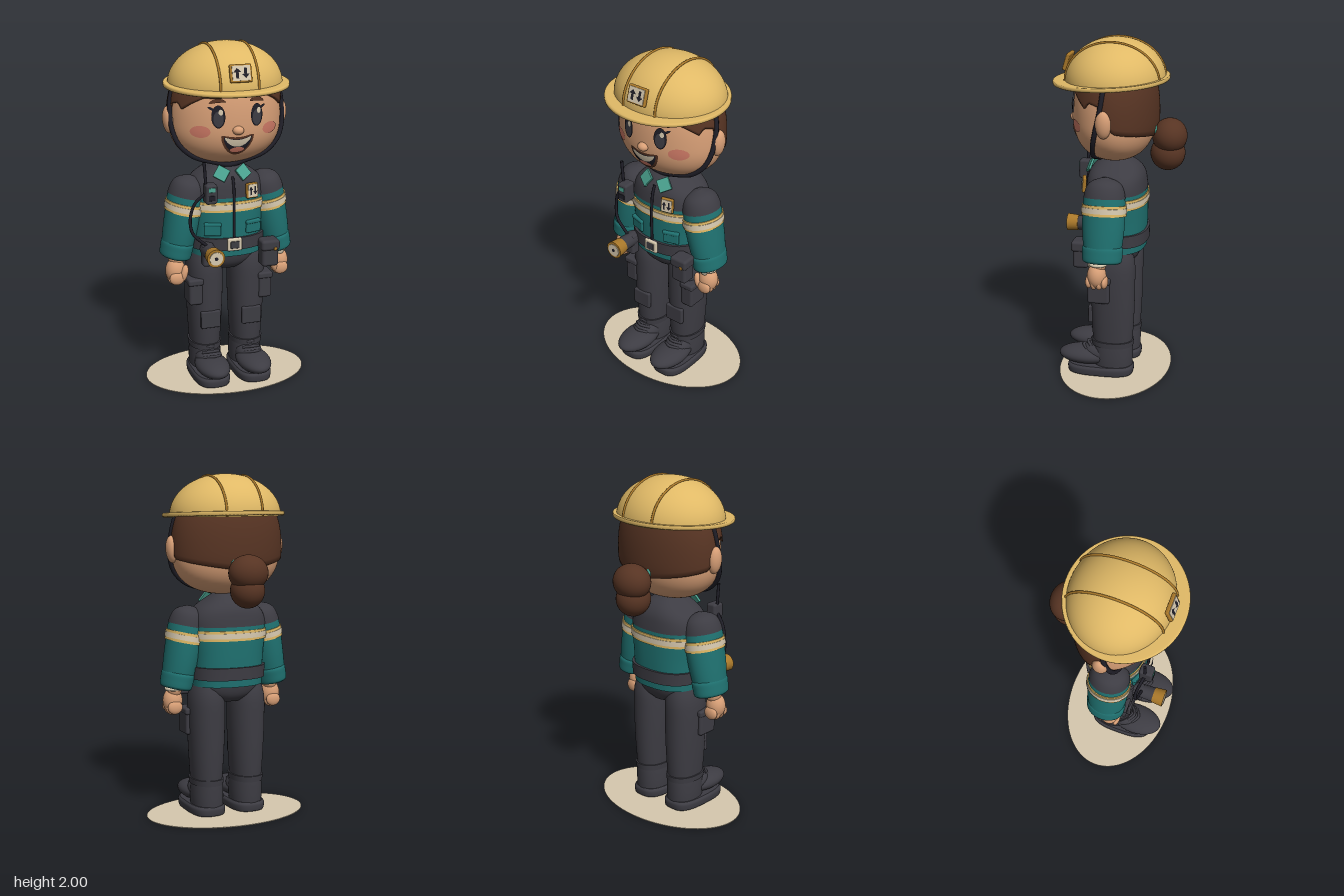
import * as THREE from 'three';
import { RoundedBoxGeometry } from 'three/addons/geometries/RoundedBoxGeometry.js';

const V = (x, y, z) => new THREE.Vector3(x, y, z);
const mat = (name, color) => Object.assign(new THREE.MeshStandardMaterial({ color, side: THREE.DoubleSide }), { name });

export function createModel() {
  const model = new THREE.Group();
  const charcoal = mat('charcoal', 0x3d3c43), teal = mat('teal', 0x1f7170), gold = mat('gold', 0xe0b966);
  const amber = mat('amber', 0xa9782a), skin = mat('skin', 0xd9a077), brown = mat('brown', 0x573423);
  const cream = mat('cream', 0xd6c8ae), pink = mat('pink', 0xcf7a66), ink = mat('ink', 0x1f1e27), mint = mat('mint', 0x4ca592);

  const add = (name, geo, m, x = 0, y = 0, z = 0, parent = model) => {
    const mesh = new THREE.Mesh(geo, m);
    mesh.name = name;
    mesh.position.set(x, y, z);
    parent.add(mesh);
    return mesh;
  };
  const ball = (name, m, x, y, z, rx, ry, rz) => {
    const b = add(name, new THREE.SphereGeometry(1, 32, 20), m, x, y, z);
    b.scale.set(rx, ry, rz);
    return b;
  };
  const box = (name, m, w, h, d, x, y, z, r = 0.008) =>
    add(name, new RoundedBoxGeometry(w, h, d, 3, Math.min(r, d / 2.1)), m, x, y, z);
  const tube = (name, m, pts, r) =>
    add(name, new THREE.TubeGeometry(new THREE.CatmullRomCurve3(pts), 48, r, 8), m);

  // Skin over closed rings of points, running upwards
  const loft = (rings) => {
    const n = rings[0].length, pos = [], idx = [];
    rings.forEach((r) => r.forEach((p) => pos.push(p.x, p.y, p.z)));
    for (let j = 0; j < rings.length - 1; j++) for (let i = 0; i < n; i++) {
      const a = j * n + i, b = j * n + (i + 1) % n;
      idx.push(a, a + n, b, b, a + n, b + n);
    }
    const g = new THREE.BufferGeometry();
    g.setAttribute('position', new THREE.Float32BufferAttribute(pos, 3));
    g.setIndex(idx);
    g.computeVertexNormals();
    return g;
  };
  // Smooth body from [y, rx, rz] sections; slices of it can be cut and inflated
  const limb = (secs, p = 2) => {
    const curve = new THREE.CatmullRomCurve3(secs.map((s) => V(s[1], s[0], s[2])), false, 'catmullrom');
    const at = (y) => {
      let lo = 0, hi = 1;
      for (let k = 0; k < 24; k++) {
        const mid = (lo + hi) / 2;
        if (curve.getPoint(mid).y < y) lo = mid; else hi = mid;
      }
      return curve.getPoint(lo);
    };
    const sq = (v) => Math.sign(v) * Math.abs(v) ** (2 / p);
    const slice = (y0, y1, grow = 0, rows = 14) => {
      const rings = [];
      for (let j = 0; j <= rows; j++) {
        const y = y0 + (y1 - y0) * j / rows, r = at(y);
        rings.push(Array.from({ length: 48 }, (_, i) => {
          const a = i / 48 * Math.PI * 2;
          return V(sq(Math.cos(a)) * (r.x + grow), y, sq(Math.sin(a)) * (r.z + grow));
        }));
      }
      const cap = (y) => rings[0].map(() => V(0, y, 0));
      return loft([cap(y0), rings[0], ...rings, rings[rows], cap(y1)]);
    };
    return { at, slice };
  };

  // Ground disc
  add('groundDisc', new THREE.CylinderGeometry(1, 1, 0.004, 72), cream, 0, 0.002, 0.03).scale.set(0.486, 1, 0.333);

  // Jacket
  const torso = limb([[0.775, 0.21, 0.17], [0.86, 0.212, 0.172], [0.96, 0.217, 0.175], [1.08, 0.23, 0.175],
    [1.17, 0.225, 0.168], [1.23, 0.19, 0.155], [1.28, 0.12, 0.12], [1.32, 0.06, 0.06]], 2.4);
  const TZ = 0.02;
  add('jacketBody', torso.slice(0.78, 1.13), teal, 0, 0, TZ);
  add('jacketYoke', torso.slice(1.13, 1.32, 0.002), charcoal, 0, 0, TZ);
  add('chestBand', torso.slice(1.05, 1.108, 0.006, 4), gold, 0, 0, TZ);
  add('chestBandCentre', torso.slice(1.064, 1.094, 0.009, 4), cream, 0, 0, TZ);
  add('belt', torso.slice(0.822, 0.895, 0.014, 4), charcoal, 0, 0, TZ);
  tube('zip', ink, [0.9, 0.98, 1.06, 1.14, 1.2, 1.25].map((y) => V(0, y, TZ + torso.at(y).z + 0.008)), 0.008);
  box('buckle', cream, 0.086, 0.074, 0.02, 0, 0.858, 0.21);
  box('buckleCentre', charcoal, 0.054, 0.044, 0.01, 0, 0.858, 0.218);

  // Badges with an up and a down arrow
  const arrow = new THREE.Shape([[-0.07, -0.3], [0.07, -0.3], [0.07, 0.05], [0.19, 0.05], [0, 0.3], [-0.19, 0.05], [-0.07, 0.05]]
    .map(([x, y]) => new THREE.Vector2(x, y)));
  const badge = (name, w, h, x, y, z, tilt, yaw) => {
    const g = new THREE.Group();
    g.name = name;
    g.position.set(x, y, z);
    g.rotation.set(tilt, yaw, 0);
    model.add(g);
    add('badgeFrame', new RoundedBoxGeometry(w, h, 0.022, 3, 0.008), amber, 0, 0, 0, g);
    add('badgePanel', new THREE.BoxGeometry(w * 0.82, h * 0.82, 0.006), cream, 0, 0, 0.011, g);
    for (const s of [-1, 1]) {
      const a = add('badgeArrow', new THREE.ShapeGeometry(arrow), ink, s * w * 0.19, 0, 0.0155, g);
      a.scale.set(w * 0.95, h * 0.95, 1);
      a.rotation.z = s > 0 ? Math.PI : 0;
    }
  };
  badge('chestBadge', 0.076, 0.088, 0.108, 1.167, 0.192, -0.08, 0.25);
  badge('helmetBadge', 0.125, 0.1, 0, 1.86, 0.303, -0.3, 0);

  for (const s of [-1, 1]) {
    // Collar and chest pocket
    const collar = box('collar', mint, 0.075, 0.075, 0.014, s * 0.064, 1.272, 0.166, 0.003);
    collar.rotation.set(-0.45, s * 0.25, s * 0.62);
    box('chestPocket', teal, 0.098, 0.075, 0.02, s * 0.122, 0.95, 0.178).rotation.y = s * 0.28;
    box('chestPocketFlap', teal, 0.1, 0.022, 0.028, s * 0.122, 0.978, 0.179).rotation.y = s * 0.28;

    // Sleeve
    const arm = new THREE.Group();
    arm.name = 'arm';
    arm.position.set(s * 0.225, 1.19, 0.045);
    arm.rotation.z = s * 0.2;
    model.add(arm);
    const sleeve = limb([[-0.43, 0.083, 0.098], [-0.36, 0.09, 0.108], [-0.27, 0.098, 0.118], [-0.17, 0.104, 0.122],
      [-0.07, 0.108, 0.118], [0, 0.094, 0.102], [0.035, 0.064, 0.07], [0.055, 0.015, 0.015]]);
    add('sleeve', sleeve.slice(-0.4, -0.06), teal, 0, 0, 0, arm);
    add('shoulder', sleeve.slice(-0.06, 0.055, 0.002), charcoal, 0, 0, 0, arm);
    add('sleeveBand', sleeve.slice(-0.158, -0.098, 0.006, 4), gold, 0, 0, 0, arm);
    add('sleeveBandCentre', sleeve.slice(-0.143, -0.113, 0.009, 4), cream, 0, 0, 0, arm);
    const cuff = limb([[-0.43, 0.08, 0.1], [-0.42, 0.09, 0.112], [-0.38, 0.093, 0.116], [-0.345, 0.093, 0.117], [-0.33, 0.085, 0.105]]);
    add('cuff', cuff.slice(-0.43, -0.33), teal, 0, 0, 0, arm);

    // Hand
    ball('wrist', skin, s * 0.31, 0.765, 0.065, 0.045, 0.06, 0.045);
    ball('palm', skin, s * 0.317, 0.69, 0.075, 0.058, 0.075, 0.055);
    for (let i = 0; i < 4; i++) ball('finger', skin, s * 0.318, 0.642 + Math.abs(i - 1.5) * 0.008, 0.03 + i * 0.03, 0.045, 0.04, 0.02);
    ball('thumb', skin, s * 0.275, 0.68, 0.115, 0.022, 0.052, 0.024).rotation.z = s * 0.25;

    // Trouser leg with pocket and knee patch
    const leg = limb([[0.16, 0.083, 0.112], [0.25, 0.09, 0.12], [0.4, 0.099, 0.128], [0.58, 0.105, 0.132], [0.72, 0.1, 0.13], [0.81, 0.07, 0.1]], 2.2);
    add('trouserLeg', leg.slice(0.17, 0.8), charcoal, s * 0.128, 0, 0.022);
    add('trouserHem', leg.slice(0.19, 0.225, 0.008, 4), charcoal, s * 0.128, 0, 0.022);
    box('kneePatch', charcoal, 0.118, 0.105, 0.026, s * 0.126, 0.388, 0.147);
    box('cargoPocket', charcoal, 0.08, 0.14, 0.13, s * 0.212, 0.555, 0.085, 0.015);
    box('cargoPocketFlap', charcoal, 0.092, 0.038, 0.145, s * 0.213, 0.625, 0.085, 0.012);

    // Boot
    const sole = limb([[0.008, 0.096, 0.185], [0.016, 0.105, 0.195], [0.05, 0.108, 0.198], [0.066, 0.098, 0.188]], 3);
    add('bootSole', sole.slice(0.009, 0.066), charcoal, s * 0.128, 0, 0.095);
    const shaft = limb([[0.05, 0.09, 0.115], [0.12, 0.092, 0.118], [0.2, 0.088, 0.118], [0.22, 0.08, 0.11]], 2.2);
    add('bootShaft', shaft.slice(0.05, 0.215), charcoal, s * 0.126, 0, 0.02);
    ball('bootToe', charcoal, s * 0.128, 0.11, 0.185, 0.098, 0.055, 0.165);
    ball('bootInstep', charcoal, s * 0.126, 0.13, 0.1, 0.08, 0.07, 0.11);
    for (let i = 0; i < 3; i++) tube('bootLace', charcoal, [-1, 0, 1].map((u) =>
      V(s * 0.126 + u * 0.05, 0.17 + i * 0.022 - u * u * 0.015, 0.2 - i * 0.027 - u * u * 0.03)), 0.009);
  }
  const pelvis = limb([[0.68, 0.07, 0.09], [0.72, 0.165, 0.125], [0.77, 0.208, 0.142], [0.84, 0.205, 0.15]], 2.3);
  add('trouserHips', pelvis.slice(0.685, 0.84), charcoal, 0, 0, 0.02);

  // Radio, antenna and cable
  box('radio', charcoal, 0.066, 0.115, 0.08, -0.155, 1.185, 0.24, 0.014);
  box('radioScreen', mint, 0.04, 0.026, 0.008, -0.155, 1.212, 0.279);
  box('radioGrille', ink, 0.04, 0.03, 0.008, -0.155, 1.165, 0.279);
  tube('antenna', ink, [V(-0.178, 1.23, 0.235), V(-0.183, 1.3, 0.235), V(-0.188, 1.365, 0.235)], 0.009);
  tube('radioCable', ink, [V(-0.185, 1.18, 0.235), V(-0.235, 1.13, 0.22), V(-0.262, 1.04, 0.21), V(-0.25, 0.95, 0.215), V(-0.17, 0.87, 0.22)], 0.009);

  // Torch on the belt
  const barrel = (name, m, r0, r1, len, z) => add(name, new THREE.CylinderGeometry(r0, r1, len, 32), m, -0.157, 0.838, z).rotation.x = Math.PI / 2;
  barrel('torchBody', charcoal, 0.043, 0.04, 0.13, 0.235);
  barrel('torchHead', amber, 0.052, 0.046, 0.066, 0.326);
  barrel('torchLens', cream, 0.038, 0.038, 0.012, 0.358);
  barrel('torchBulb', ink, 0.01, 0.01, 0.008, 0.362);
  box('torchHolder', charcoal, 0.07, 0.13, 0.06, -0.157, 0.81, 0.2, 0.015);

  // Belt pouch and wrist watch
  box('beltPouch', charcoal, 0.1, 0.16, 0.09, 0.215, 0.785, 0.185, 0.018);
  box('beltPouchFlap', charcoal, 0.112, 0.062, 0.102, 0.215, 0.835, 0.187, 0.016);
  box('pouchStud', amber, 0.02, 0.02, 0.01, 0.24, 0.815, 0.236);
  const watch = add('watchStrap', new THREE.TorusGeometry(0.045, 0.01, 10, 32), cream, 0.312, 0.762, 0.067);
  watch.rotation.x = Math.PI / 2;
  ball('watchFace', cream, 0.315, 0.762, 0.118, 0.024, 0.024, 0.01);

  // Head
  const HY = 1.56, HZ = 0.015, HX = 0.325, HD = 0.25;
  const headR = (y) => Math.max(0, 1 - Math.abs((y - HY) / (y < HY ? 0.25 : 0.4)) ** 2.4) ** (1 / 2.4);
  const headRing = (edge, kx, kf, kb) => Array.from({ length: 96 }, (_, i) => {
    const a = i / 96 * Math.PI * 2, c = Math.cos(a), s = Math.sin(a), y = edge(Math.abs(Math.atan2(c, s)), c), r = headR(y);
    return V(c * r * kx, y, HZ + s * r * (s > 0 ? kf : kb));
  });
  add('head', loft(Array.from({ length: 33 }, (_, j) =>
    headRing(() => HY - 0.25 * Math.cos(j / 32 * Math.PI * 0.8), HX, HD, 0.215))), skin);
  const faceZ = (x, y) => HZ + HD * Math.sqrt(Math.max(0, headR(y) ** 2 - (x / HX) ** 2));

  // Hair with a swept hairline, a is the angle from the front
  const line = [[0, 1.735], [0.35, 1.715], [0.6, 1.72], [0.85, 1.685], [1.05, 1.65], [1.15, 1.685], [1.38, 1.67], [1.5, 1.58], [1.75, 1.52], [3.15, 1.455]];
  const hairline = (a) => {
    const k = line.findIndex((p, i) => i > 0 && a <= p[0]), [a0, y0] = line[k - 1], [a1, y1] = line[k];
    return y0 + (y1 - y0) * (a - a0) / (a1 - a0);
  };
  const hairRings = [headRing(hairline, HX * 0.96, HD * 0.96, 0.2)];
  for (let j = 0; j <= 12; j++) hairRings.push(headRing((a) => hairline(a) + (1.85 - hairline(a)) * j / 12, 0.338, 0.263, 0.236));
  add('hair', loft(hairRings), brown);
  ball('bun', brown, 0, 1.45, -0.285, 0.115, 0.102, 0.1);
  ball('bunTail', brown, 0, 1.35, -0.275, 0.098, 0.1, 0.1);
  const tie = add('hairTie', new THREE.TorusGeometry(0.062, 0.012, 10, 32), mint, 0, 1.49, -0.215);
  tie.rotation.x = 0.35;

  // Painted face parts, curved to the head
  const decal = (name, m, x, y, rx, ry, lift, rot = 0, warp = (u, v) => [u, v]) => {
    const g = new THREE.RingGeometry(0, 1, 32, 5), p = g.attributes.position;
    for (let i = 0; i < p.count; i++) {
      const [u, v] = warp(p.getX(i), p.getY(i)), c = Math.cos(rot), s = Math.sin(rot);
      const px = x + u * rx * c - v * ry * s, py = y + u * rx * s + v * ry * c;
      p.setXYZ(i, px, py, faceZ(px, py) + lift);
    }
    g.computeVertexNormals();
    add(name, g, m);
  };
  for (const s of [-1, 1]) {
    decal('eye', ink, s * 0.111, 1.618, 0.037, 0.063, 0.008);
    decal('iris', charcoal, s * 0.111, 1.606, 0.027, 0.043, 0.01);
    decal('eyeGlint', cream, s * 0.111 + 0.012, 1.643, 0.012, 0.016, 0.012);
    decal('eyeLash', ink, s * 0.147, 1.662, 0.02, 0.007, 0.008, s * 0.5);
    decal('eyebrow', brown, s * 0.115, 1.706, 0.045, 0.011, 0.008, -s * 0.1, (u, v) => [u, v - u * u]);
    decal('cheek', pink, s * 0.202, 1.532, 0.05, 0.034, 0.005);
    const ear = ball('ear', skin, s * 0.333, 1.572, 0.03, 0.034, 0.078, 0.044);
    ear.rotation.z = -s * 0.08;
  }
  const grin = (top, low) => (u, v) => [u, (v > 0 ? v * top : v * low) + 0.42 * u * u];
  decal('lips', brown, 0, 1.472, 0.095, 0.08, 0.005, 0, grin(0.35, 1));
  decal('mouth', ink, 0, 1.472, 0.082, 0.066, 0.008, 0, grin(0.25, 1));
  decal('teeth', cream, 0, 1.472, 0.076, 0.066, 0.011, 0, grin(0.2, 0.42));
  decal('tongue', pink, 0, 1.425, 0.042, 0.017, 0.011);
  ball('nose', skin, 0, 1.538, 0.268, 0.032, 0.025, 0.028);

  // Chin strap
  const side = [[1.76, 0.035], [1.68, 0.045], [1.6, 0.06], [1.52, 0.08], [1.44, 0.1], [1.37, 0.115], [1.33, 0.12]].map(([y, z]) =>
    V(HX * Math.sqrt(headR(y) ** 2 - ((z - HZ) / HD) ** 2) + 0.013, y, z));
  tube('chinStrap', ink, [...side, V(0, 1.305, 0.11), ...side.slice().reverse().map((p) => V(-p.x, p.y, p.z))], 0.014);

  // Helmet dome, ribs and brim
  const DZ = 0.028;
  const dome = add('helmetDome', new THREE.SphereGeometry(1, 64, 24, 0, Math.PI * 2, 0, Math.PI / 2), gold, 0, 1.76, DZ);
  dome.scale.set(0.33, 0.24, 0.285);
  for (const x of [-0.11, 0.11]) tube('helmetRib', amber, Array.from({ length: 17 }, (_, i) => {
    const a = i / 16 * Math.PI;
    return V(x, 1.762 + 0.227 * Math.sin(a), DZ + 0.27 * Math.cos(a));
  }), 0.007);
  const brimRings = [[0, -0.008], [0.85, -0.012], [1, -0.007], [1.03, 0.002], [1, 0.011], [0.85, 0.013], [0, 0.012]].map(([k, dy]) =>
    Array.from({ length: 96 }, (_, i) => {
      const a = i / 96 * Math.PI * 2, c = Math.cos(a), s = Math.sin(a);
      const z = (DZ + 0.28 * s) * (1 - k) + (0.053 + 0.331 * s) * k;
      return V(c * (0.322 + 0.036 * k), 1.768 - 0.045 * z + dy, z);
    }));
  add('helmetBrim', loft(brimRings), gold);
  return model;
}
